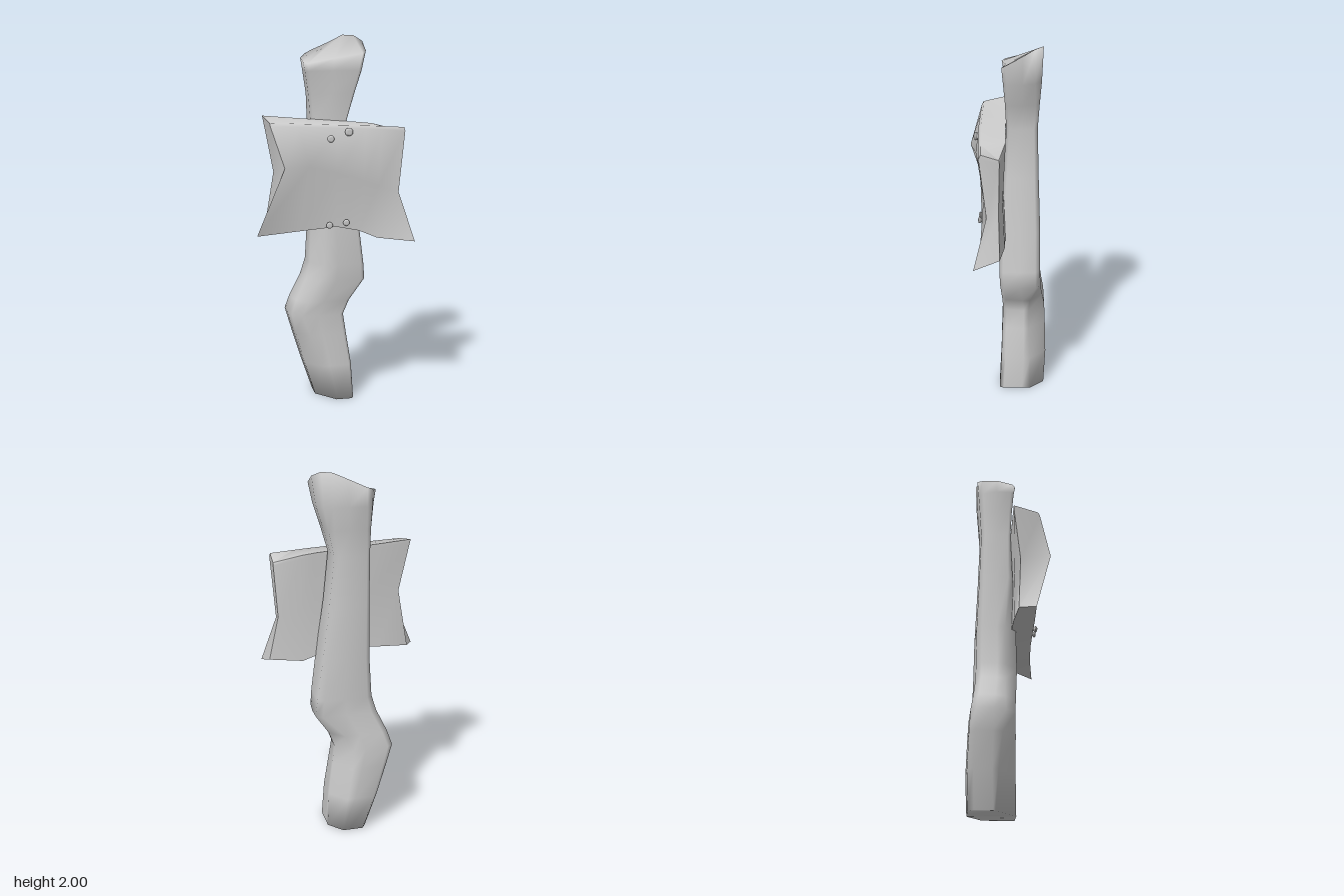
import * as THREE from 'three';
import { toCreasedNormals } from 'three/addons/utils/BufferGeometryUtils.js';

const grey = new THREE.MeshStandardMaterial({ color: 0xcccccc, side: THREE.DoubleSide });

// Skin a stack of equal rings (counter-clockwise from above) and close both ends with strips
function loft(rings) {
  const n = rings[0].length, last = (rings.length - 1) * n, index = [];
  for (let i = 0; i < rings.length - 1; i++) {
    for (let j = 0; j < n; j++) {
      const a = i * n + j, b = i * n + (j + 1) % n;
      index.push(a, b, b + n, a, b + n, a + n);
    }
  }
  for (let j = 0; j < n / 2 - 1; j++) {
    const a = j, b = j + 1, c = n - 2 - j, d = n - 1 - j;
    index.push(a, c, b, a, d, c);
    index.push(last + a, last + b, last + c, last + a, last + c, last + d);
  }
  const g = new THREE.BufferGeometry();
  g.setAttribute('position', new THREE.Float32BufferAttribute(rings.flat(2), 3));
  g.setIndex(index);
  g.computeVertexNormals();
  return g;
}

function addMesh(group, name, geometry) {
  const mesh = new THREE.Mesh(geometry, grey);
  mesh.name = name;
  group.add(mesh);
  return mesh;
}

// Chamfered square: left side, front, right side, back
const outline = [[-1, 0], [-1, 0.82], [-0.88, 1], [0, 1], [0.88, 1], [1, 0.82],
  [1, 0], [1, -0.76], [0.8, -1], [0, -1], [-0.8, -1], [-1, -0.76]];

// taper narrows the back (or the front, if negative);
// frontCut bevels the edge at -x +z, backCut the edge at +x -z
function postRing([y, xl, xr, zb, zf, taper, frontCut, backCut]) {
  return outline.map(([u, w], k) => {
    const squeeze = 1 - Math.abs(taper) * Math.max(0, -w * Math.sign(taper));
    let x = (xl + xr) / 2 + u * (xr - xl) / 2 * squeeze;
    let z = (zb + zf) / 2 + w * (zf - zb) / 2;
    if (k === 1) z -= frontCut;
    if (k === 2) x += frontCut;
    if (k === 7) z += backCut;
    if (k === 8) x -= backCut;
    return [x, y, z];
  });
}

export function createModel() {
  const model = new THREE.Group();
  model.name = 'signpost';

  // Crooked post: y, left x, right x, back z, front z, taper, frontCut, backCut
  const rings = [
    [0.005, -0.08, 0.12, -0.2, 0.05, 0, 0.09, 0.05],
    [0.2, -0.145, 0.113, -0.21, 0.04, -0.04, 0.07, 0.06],
    [0.38, -0.2, 0.09, -0.205, 0.035, -0.08, 0.05, 0.065],
    [0.49, -0.232, 0.08, -0.2, 0.03, -0.12, 0.03, 0.06],
    [0.57, -0.205, 0.11, -0.187, 0.035, -0.1, 0.04, 0.045],
    [0.69, -0.148, 0.19, -0.172, 0.045, -0.07, 0.045, 0],
    [0.78, -0.12, 0.178, -0.17, 0.05, -0.04, 0.05, 0],
    [1.0, -0.107, 0.147, -0.168, 0.045, 0, 0.045, 0],
    [1.3, -0.107, 0.108, -0.157, 0.025, 0, 0.01, 0],
    [1.56, -0.112, 0.085, -0.15, 0.012, 0.05, 0, 0],
    [1.7, -0.124, 0.125, -0.158, 0.018, 0.14, 0, 0],
    [1.82, -0.142, 0.162, -0.167, 0.028, 0.22, 0, 0.01],
    [1.9, -0.153, 0.183, -0.174, 0.036, 0.28, 0, 0.015],
  ].map(postRing);
  // Slanted top, notched at the front and dipped in the middle of the back
  const top = rings.at(-1);
  top.forEach((p) => {
    p[1] = Math.min(2, 1.955 + 0.45 * p[0], 1.885 + 0.17 * p[0] - 0.55 * (p[2] - 0.03));
  });
  top[8][1] = 2;
  top[9][2] += 0.015;
  rings.slice(-3).forEach((r, i) => { r[3][2] -= 0.007 * (i + 1); });
  addMesh(model, 'post', loft(rings));

  // Warped board: each ring runs left to right in front, then back again behind
  const boardRings = [
    [[-0.42, 0.97, 0.115], [-0.2, 0.992, 0.13], [0, 1.01, 0.14], [0.12, 0.985, 0.142], [0.22, 0.943, 0.15], [0.42, 0.92, 0.18],
      [0.398, 0.965, 0.045], [0.22, 0.95, 0.02], [0.12, 0.985, 0.015], [0, 1.005, 0.02], [-0.2, 0.995, 0.02], [-0.37, 0.985, 0.03]],
    [[-0.285, 1.34, 0.21], [-0.15, 1.34, 0.178], [0, 1.3, 0.153], [0.15, 1.25, 0.143], [0.23, 1.22, 0.13], [0.345, 1.18, 0.112],
      [0.345, 1.2, 0.05], [0.23, 1.22, 0.03], [0.15, 1.26, 0.03], [0, 1.3, 0.03], [-0.15, 1.3, 0.03], [-0.32, 1.3, 0.045]],
    [[-0.348, 1.55, 0.147], [-0.2, 1.545, 0.152], [0, 1.535, 0.158], [0.15, 1.528, 0.156], [0.24, 1.522, 0.153], [0.367, 1.51, 0.148],
      [0.366, 1.485, 0.045], [0.22, 1.52, 0.015], [0.15, 1.53, 0.015], [0, 1.54, 0.015], [-0.2, 1.56, 0.01], [-0.367, 1.575, 0.006]],
    [[-0.35, 1.567, 0.137], [-0.2, 1.56, 0.14], [0, 1.55, 0.144], [0.15, 1.543, 0.142], [0.24, 1.538, 0.14], [0.365, 1.53, 0.137],
      [0.366, 1.502, 0.048], [0.22, 1.54, 0.015], [0.15, 1.548, 0.015], [0, 1.56, 0.015], [-0.2, 1.577, 0.01], [-0.37, 1.592, 0.005]],
  ];
  addMesh(model, 'board', toCreasedNormals(loft(boardRings), 1.15));

  // Nails with flared shanks and domed heads
  const profile = [[0, -0.02], [0.009, -0.02], [0.011, 0.004], [0.021, 0.014], [0.018, 0.021], [0.01, 0.025], [0, 0.026]]
    .map(([r, h]) => new THREE.Vector2(r, h));
  const nail = toCreasedNormals(new THREE.LatheGeometry(profile, 12), 0.9);
  [[-0.035, 1.48, 0.15, 0.9], [0.06, 1.515, 0.153, 1.05], [-0.04, 1.022, 0.14, 0.85], [0.05, 1.033, 0.142, 0.85]]
    .forEach(([x, y, z, s], i) => {
      const mesh = addMesh(model, 'nail' + (i + 1), nail);
      mesh.position.set(x, y, z);
      mesh.rotation.x = Math.PI / 2;
      mesh.scale.setScalar(s);
    });

  return model;
}
